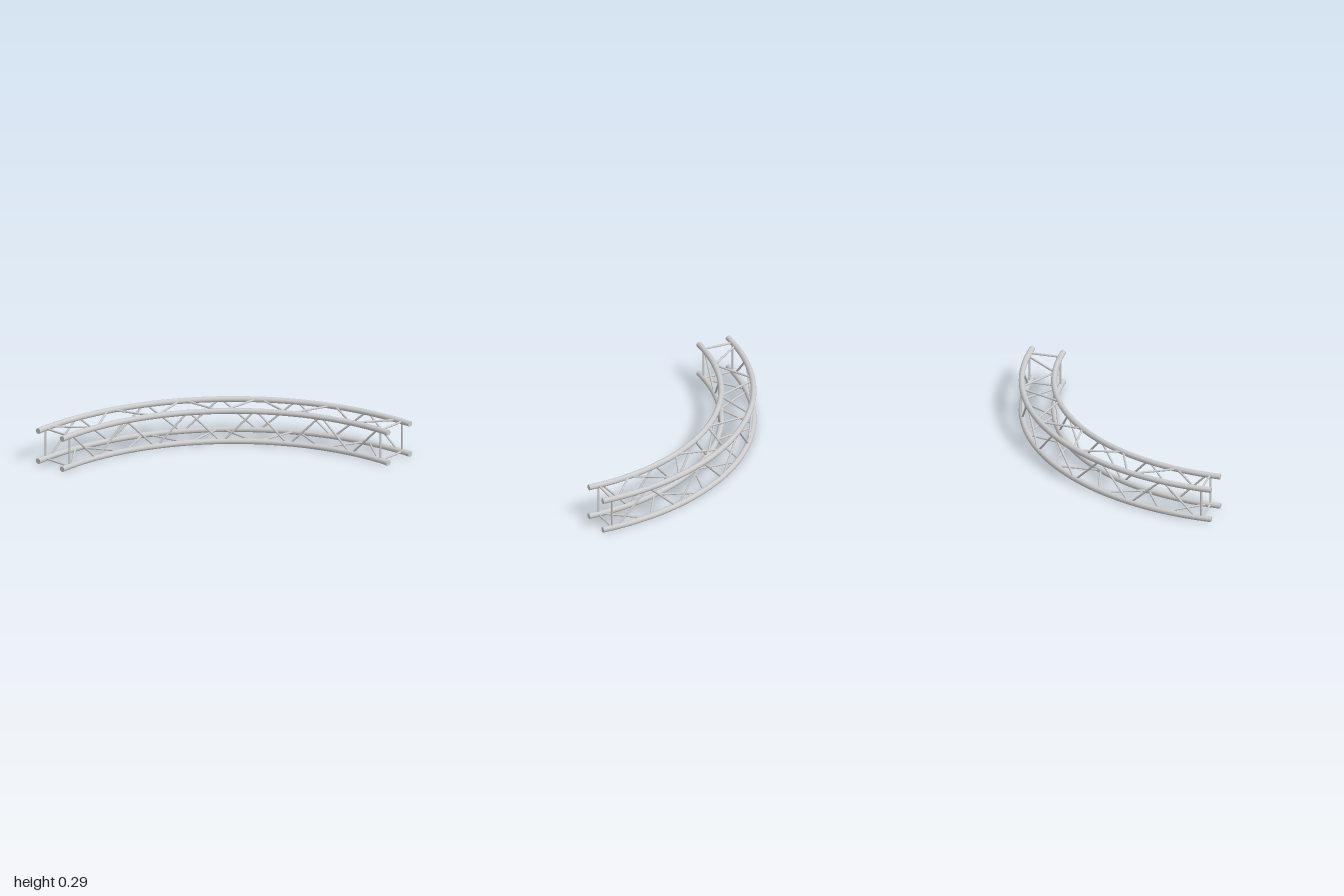
import * as THREE from 'three';

const OUTER = 1.978, INNER = 1.735;   // chord radii about the corner (1, 1)
const LOW = 0.022, HIGH = 0.265;      // chord heights
const CHORD_R = 0.022, STRUT_R = 0.008;
const BAYS = 10, PITCH = 8.35, START = 45 - BAYS * PITCH / 2;

const material = new THREE.MeshStandardMaterial({ color: 0xcccccc });

// Point on a chord, angle in degrees from the front end
function onArc(deg, radius, y) {
  const t = THREE.MathUtils.degToRad(deg);
  return new THREE.Vector3(1 - radius * Math.cos(t), y, 1 - radius * Math.sin(t));
}

function addMesh(parent, geometry, name) {
  const mesh = new THREE.Mesh(geometry, material);
  mesh.name = name;
  parent.add(mesh);
  return mesh;
}

// Thin round bar between two points
function addBar(parent, a, b, name) {
  const bar = addMesh(parent, new THREE.CylinderGeometry(STRUT_R, STRUT_R, a.distanceTo(b), 12, 1, true), name);
  bar.position.copy(a).add(b).multiplyScalar(0.5);
  bar.quaternion.setFromUnitVectors(new THREE.Vector3(0, 1, 0), b.clone().sub(a).normalize());
}

// Quarter-circle main tube with closed ends
function addChord(parent, { radius, y }) {
  const chord = new THREE.Group();
  chord.name = 'chord';
  const arc = new THREE.TorusGeometry(radius, CHORD_R, 20, 72, Math.PI / 2);
  arc.rotateZ(Math.PI / 2).rotateX(-Math.PI / 2).translate(1, y, 1);
  addMesh(chord, arc, 'chordTube');
  const cap = new THREE.CircleGeometry(CHORD_R, 20);
  addMesh(chord, cap, 'frontCap').position.set(1 - radius, y, 1);
  const sideCap = addMesh(chord, cap, 'sideCap');
  sideCap.position.set(1, y, 1 - radius);
  sideCap.rotation.y = Math.PI / 2;
  parent.add(chord);
}

// Zigzag of diagonals between two chords, starting on the first
function addLacing(parent, from, to, name) {
  const lacing = new THREE.Group();
  lacing.name = name;
  const flat = from.y === to.y;
  const gap = (c) => (flat ? (c.radius === OUTER ? 0.6 : 0.05) : 0.3);
  for (let i = 0; i < BAYS; i++) {
    const [p, q] = i % 2 ? [to, from] : [from, to];
    const a = START + i * PITCH + gap(p), b = START + (i + 1) * PITCH - gap(q);
    addBar(lacing, onArc(a, p.radius, p.y), onArc(b, q.radius, q.y), 'diagonal');
  }
  parent.add(lacing);
}

export function createModel() {
  const truss = new THREE.Group();
  truss.name = 'curvedTruss';

  // Chords in order around the square section
  const chords = [
    { radius: OUTER, y: HIGH },
    { radius: INNER, y: HIGH },
    { radius: INNER, y: LOW },
    { radius: OUTER, y: LOW },
  ];
  const faces = ['topLacing', 'innerLacing', 'bottomLacing', 'outerLacing'];

  chords.forEach((chord, i) => {
    const next = chords[(i + 1) % 4];
    addChord(truss, chord);
    addLacing(truss, chord, next, faces[i]);

    // Square frames of straight bars near both ends
    const front = (c) => new THREE.Vector3(1 - Math.sqrt(c.radius ** 2 - 0.0064), c.y, 0.92);
    const side = (c) => new THREE.Vector3(0.92, c.y, 1 - Math.sqrt(c.radius ** 2 - 0.0064));
    addBar(truss, front(chord), front(next), 'frontEndBar');
    addBar(truss, side(chord), side(next), 'sideEndBar');
  });

  return truss;
}
